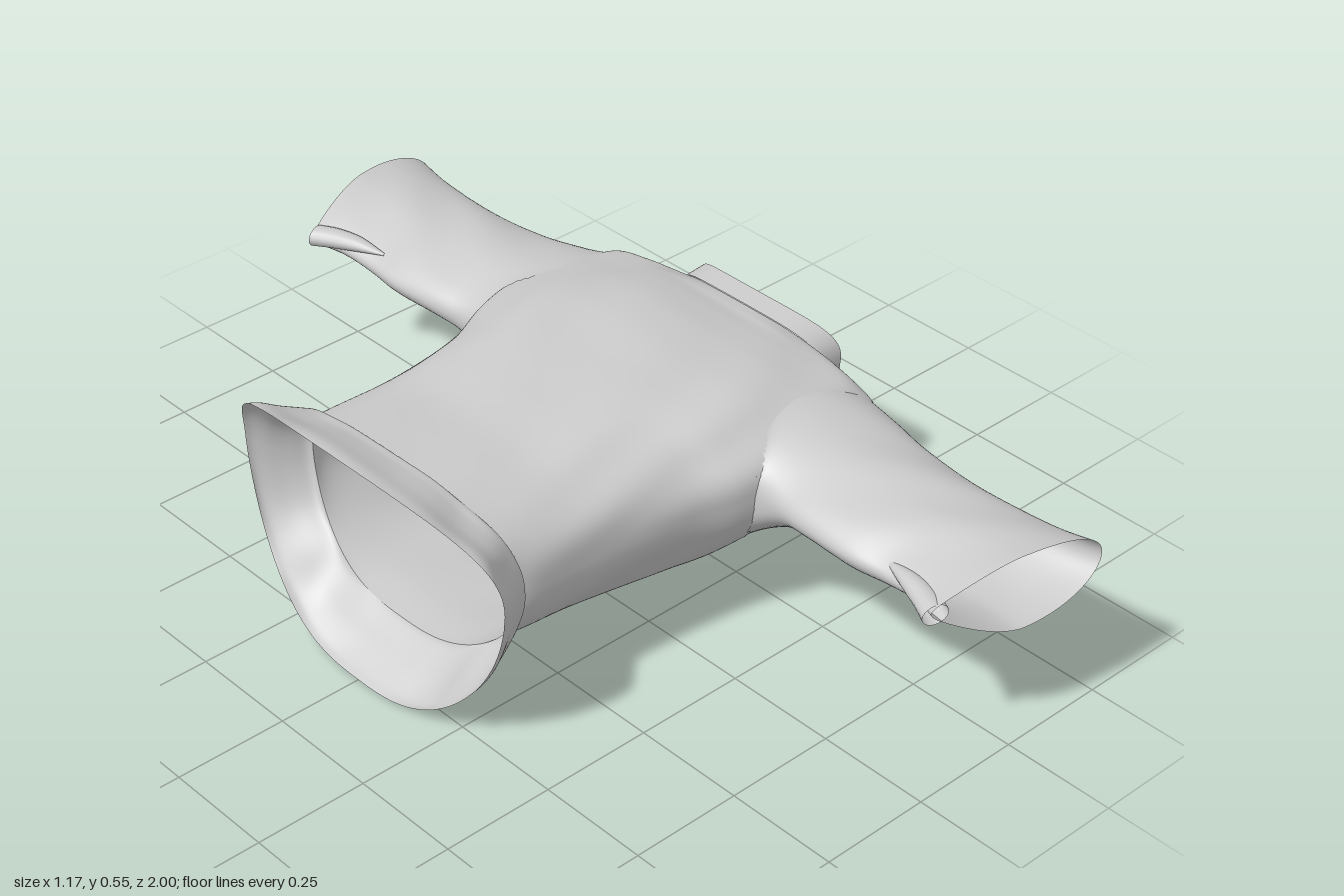
import * as THREE from 'three';

const cloth = new THREE.MeshStandardMaterial({ color: 0xcccccc, side: THREE.DoubleSide });
const pow = (v, p) => Math.sign(v) * Math.abs(v) ** p;

// Smoothly interpolates a table of stations (Catmull-Rom on every column), t in 0..1
function sample(stations, t) {
  const n = stations.length - 1;
  const i = Math.max(0, Math.min(Math.floor(t * n), n - 1)), f = t * n - i;
  const at = k => stations[Math.max(0, Math.min(n, k))];
  return at(i).map((b, c) => {
    const a = at(i - 1)[c], d = at(i + 1)[c], e = at(i + 2)[c];
    return b + 0.5 * f * (d - a + f * (2 * a - 5 * b + 4 * d - e + f * (3 * (b - d) + e - a)));
  });
}

// Skins point(t, angle) into a tube, open at both ends; quads can be left out by skip(t, angle)
function skin(name, rows, cols, point, { from = 0, to = Math.PI * 2, skip } = {}) {
  const pos = [], index = [];
  const per = to - from > 6.28 ? cols : cols + 1;
  const angle = c => from + (to - from) * c / cols;
  for (let r = 0; r <= rows; r++)
    for (let c = 0; c < per; c++) pos.push(...point(r / rows, angle(c)));
  for (let r = 0; r < rows; r++)
    for (let c = 0; c < cols; c++) {
      if (skip && skip((r + 0.5) / rows, angle(c + 0.5))) continue;
      const n = (c + 1) % per, a = r * per, b = a + per;
      index.push(a + c, a + n, b + n, a + c, b + n, b + c);
    }
  const g = new THREE.BufferGeometry();
  g.setAttribute('position', new THREE.Float32BufferAttribute(pos, 3));
  g.setIndex(index);
  g.computeVertexNormals();
  const mesh = new THREE.Mesh(g, cloth);
  mesh.name = name;
  return mesh;
}

// Rounded-box ring across the body:
// [x, bow towards the sides, half width, bottom, top, middle height, lower taper, tilt]
function bodyPoint(stations, ripple = 0) {
  return (t, a) => {
    const [x, bow, w, bot, top, mid, taper, tilt] = sample(stations, t);
    const c = Math.cos(a), s = Math.sin(a);
    const fold = ripple * Math.sin(Math.PI * t) * (Math.sin(7 * a + 5 * x) + 0.6 * Math.sin(11 * a - 14 * x));
    const h = s > 0 ? top - mid : mid - bot;
    return [
      x + bow * (1 - Math.abs(s) ** 1.5) + tilt * s,
      mid + h * pow(s, 0.72) + fold * s,
      w * pow(c, 0.72) * (1 + taper * Math.min(s, 0)) + fold * c,
    ];
  };
}

const torso = [
  [-0.445, 0.045, 0.322, 0.10, 0.493, 0.31, 0.2, 0],
  [-0.36, 0, 0.33, 0.105, 0.488, 0.30, 0.2, 0],
  [-0.24, 0, 0.337, 0.097, 0.483, 0.30, 0.2, 0],
  [-0.12, 0, 0.347, 0.085, 0.493, 0.30, 0.2, 0],
  [0.00, 0, 0.37, 0.07, 0.502, 0.30, 0.22, 0],
  [0.10, 0, 0.41, 0.065, 0.505, 0.31, 0.25, 0],
  [0.20, 0, 0.43, 0.082, 0.505, 0.32, 0.25, 0],
  [0.30, 0, 0.43, 0.125, 0.495, 0.33, 0.22, 0],
  [0.38, 0.02, 0.42, 0.16, 0.478, 0.335, 0.2, 0],
  [0.43, 0.06, 0.40, 0.18, 0.464, 0.34, 0.22, 0],
  [0.452, 0.063, 0.33, 0.187, 0.46, 0.345, 0.28, 0],
  [0.463, 0.06, 0.25, 0.19, 0.457, 0.352, 0.35, 0.005],
  [0.468, 0.057, 0.205, 0.192, 0.455, 0.355, 0.4, 0.01],
];

// The band ends on the torso's first ring, with a puckered ridge just before it
const hem = [
  [-0.572, 0.06, 0.395, 0.00, 0.548, 0.36, 0.22, -0.013],
  [-0.548, 0.05, 0.39, 0.008, 0.54, 0.35, 0.22, -0.01],
  [-0.51, 0.04, 0.37, 0.033, 0.52, 0.33, 0.22, -0.005],
  [-0.475, 0.04, 0.35, 0.065, 0.505, 0.32, 0.2, 0],
  [-0.452, 0.045, 0.335, 0.09, 0.5, 0.31, 0.2, 0],
  torso[0],
];

const collar = [
  [0.468, 0.057, 0.206, 0.188, 0.457, 0.355, 0.4, 0.01],
  [0.482, 0.07, 0.208, 0.165, 0.459, 0.355, 0.4, 0.022],
  [0.495, 0.085, 0.21, 0.145, 0.461, 0.355, 0.4, 0.035],
];

const torsoPoint = bodyPoint(torso, 0.004);

// Armhole: an ellipse drawn on the torso's own surface
const hole = { t: 0.6, rt: 0.17, ra: 0.75 };
function inArmhole(t, a) {
  const fromSide = Math.asin(Math.sin(a)); // same for both sides
  return ((t - hole.t) / hole.rt) ** 2 + (fromSide / hole.ra) ** 2 < 0.88;
}
function armholeEdge(side, c, s) {
  const a = hole.ra * s;
  return torsoPoint(hole.t + hole.rt * c, side > 0 ? a : Math.PI - a);
}

// Ring across the sleeve: [z, setback of the underarm, low x, high x, bottom, top]
const sleeve = [
  [0.40, 0, 0.135, 0.512, 0.20, 0.447],
  [0.47, 0, 0.125, 0.495, 0.238, 0.433],
  [0.56, 0, 0.112, 0.472, 0.253, 0.425],
  [0.68, 0, 0.105, 0.46, 0.253, 0.422],
  [0.79, 0.02, 0.113, 0.46, 0.25, 0.418],
  [0.91, 0.05, 0.105, 0.466, 0.255, 0.424],
  [1.00, 0.075, 0.075, 0.477, 0.26, 0.436],
];

// The sleeve grows out of the armhole edge and eases into its own rings
function sleevePoint(side) {
  const sag = side > 0 ? 0 : 0.012; // the back sleeve lies a little lower
  return (t, a) => {
    const [z, setback, lo, hi, bot, top] = sample(sleeve, t);
    const c = Math.cos(a), s = Math.sin(a);
    const pinch = 1 - 0.55 * t * Math.max(0, -c) ** 1.5; // crease along the underarm
    const fold = 0.003 * Math.sin(Math.PI * t) * Math.sin(5 * a + 22 * z);
    const mid = (bot + top) / 2 - sag;
    const ring = [
      (lo + hi) / 2 + (hi - lo) / 2 * c,
      mid + (top - bot) / 2 * s * pinch + fold * s + 0.018 * t * Math.max(0, -c),
      side * (z - setback * ((1 - c) / 2) ** 2),
    ];
    const k = Math.sin(Math.min(1, t / 0.25) * Math.PI / 2);
    return armholeEdge(side, c, s).map((v, i) => v + (ring[i] - v) * k);
  };
}

// Small rolled lip at the underarm end of the cuff: [z, x, y, radius]
const roll = [
  [0.925, 0.088, 0.358, 0.028],
  [0.88, 0.108, 0.362, 0.026],
  [0.82, 0.125, 0.366, 0.019],
  [0.75, 0.14, 0.365, 0.003],
];

export function createModel() {
  const shirt = new THREE.Group();
  shirt.name = 'shirt';

  // Torso with both armholes left open
  shirt.add(skin('torso', 120, 160, torsoPoint, { skip: inArmhole }));

  // Flared band around the waist
  shirt.add(skin('hemBand', 30, 160, bodyPoint(hem, 0.005)));

  // Upright collar strip, parted at the bottom
  shirt.add(skin('collar', 6, 72, bodyPoint(collar), { from: -1.15, to: Math.PI + 1.15 }));

  // Sleeves and cuff rolls, mirrored
  for (const side of [1, -1]) {
    const label = side > 0 ? 'front' : 'back';
    shirt.add(skin(label + 'Sleeve', 56, 72, sleevePoint(side)));
    shirt.add(skin(label + 'CuffRoll', 12, 16, (t, a) => {
      const [z, x, y, r] = sample(roll, t);
      return [x + r * Math.cos(a), y + 0.8 * r * Math.sin(a), side * (z + 0.3 * r * Math.cos(a))];
    }));
  }
  return shirt;
}
